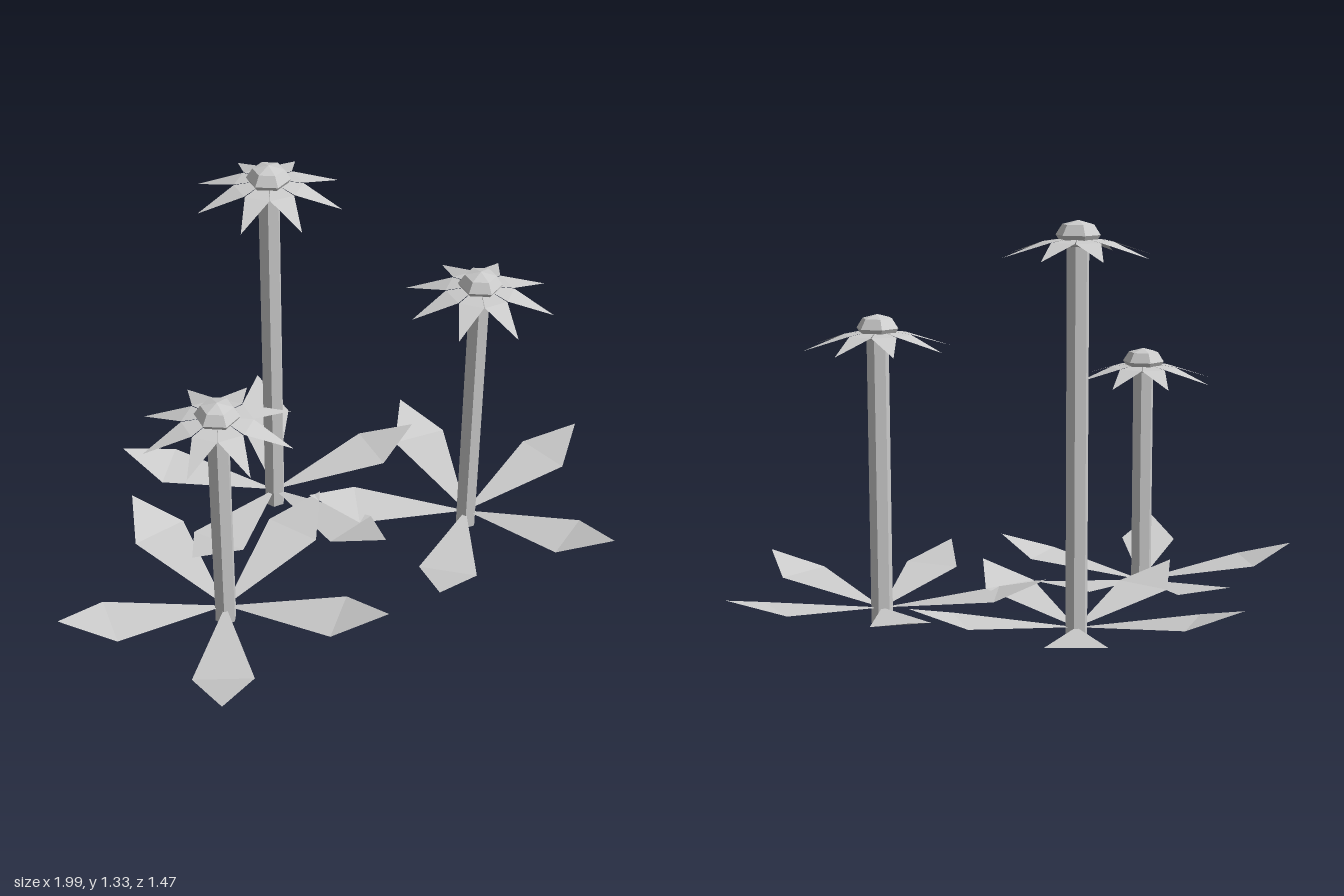
import * as THREE from 'three';

const grey = new THREE.MeshStandardMaterial({ color: 0xcccccc, flatShading: true, side: THREE.DoubleSide });
grey.name = 'light grey';

// Four-cornered blade along +x: root, widest pair, tip; each station is [distance, height]
function bladeGeometry(root, wide, tip, halfWidth) {
  const geo = new THREE.BufferGeometry();
  geo.setAttribute('position', new THREE.Float32BufferAttribute([
    root[0], root[1], 0,
    wide[0], wide[1], halfWidth,
    wide[0], wide[1], -halfWidth,
    tip[0], tip[1], 0,
  ], 3));
  geo.setIndex([0, 1, 2, 1, 3, 2]);
  geo.computeVertexNormals();
  return geo;
}

function add(parent, name, geometry) {
  const mesh = new THREE.Mesh(geometry, grey);
  mesh.name = name;
  parent.add(mesh);
  return mesh;
}

// Evenly spaced ring of blades, startAngle in degrees from +x towards +z
function addRing(parent, name, geometry, count, startAngle) {
  for (let i = 0; i < count; i++) {
    const blade = add(parent, name, geometry);
    blade.rotation.y = -THREE.MathUtils.degToRad(startAngle + (i * 360) / count);
  }
}

const leafGeo = bladeGeometry([0, 0.05], [0.377, 0.103], [0.54, 0.156], 0.095);
const petalGeo = bladeGeometry([0, 0.06], [0.1, 0.045], [0.24, 0], 0.04);

function makeFlower(x, z, height, leafAngle) {
  const flower = new THREE.Group();
  flower.name = 'flower';
  flower.position.set(x, 0, z);

  // Hexagonal stem with corners towards the sides
  const stemHeight = height - 0.05;
  const stem = add(flower, 'stem', new THREE.CylinderGeometry(0.036, 0.036, stemHeight, 6));
  stem.position.y = stemHeight / 2;
  stem.rotation.y = Math.PI / 6;

  // Leaves around the foot
  addRing(flower, 'leaf', leafGeo, 5, leafAngle);

  // Drooping petals and faceted centre
  const head = new THREE.Group();
  head.name = 'flowerHead';
  head.position.y = height - 0.11;
  flower.add(head);
  addRing(head, 'petal', petalGeo, 8, 0);
  const centre = add(head, 'flowerCentre', new THREE.SphereGeometry(0.07, 6, 4));
  centre.scale.y = 0.64;
  centre.position.y = 0.065;
  centre.rotation.y = Math.PI / 6;
  return flower;
}

export function createModel() {
  const model = new THREE.Group();
  model.name = 'flowerCluster';
  model.add(
    makeFlower(-0.46, 0.24, 0.862, 42),
    makeFlower(-0.073, -0.225, 1.33, 0),
    makeFlower(0.47, 0.165, 1.018, -15),
  );
  return model;
}
